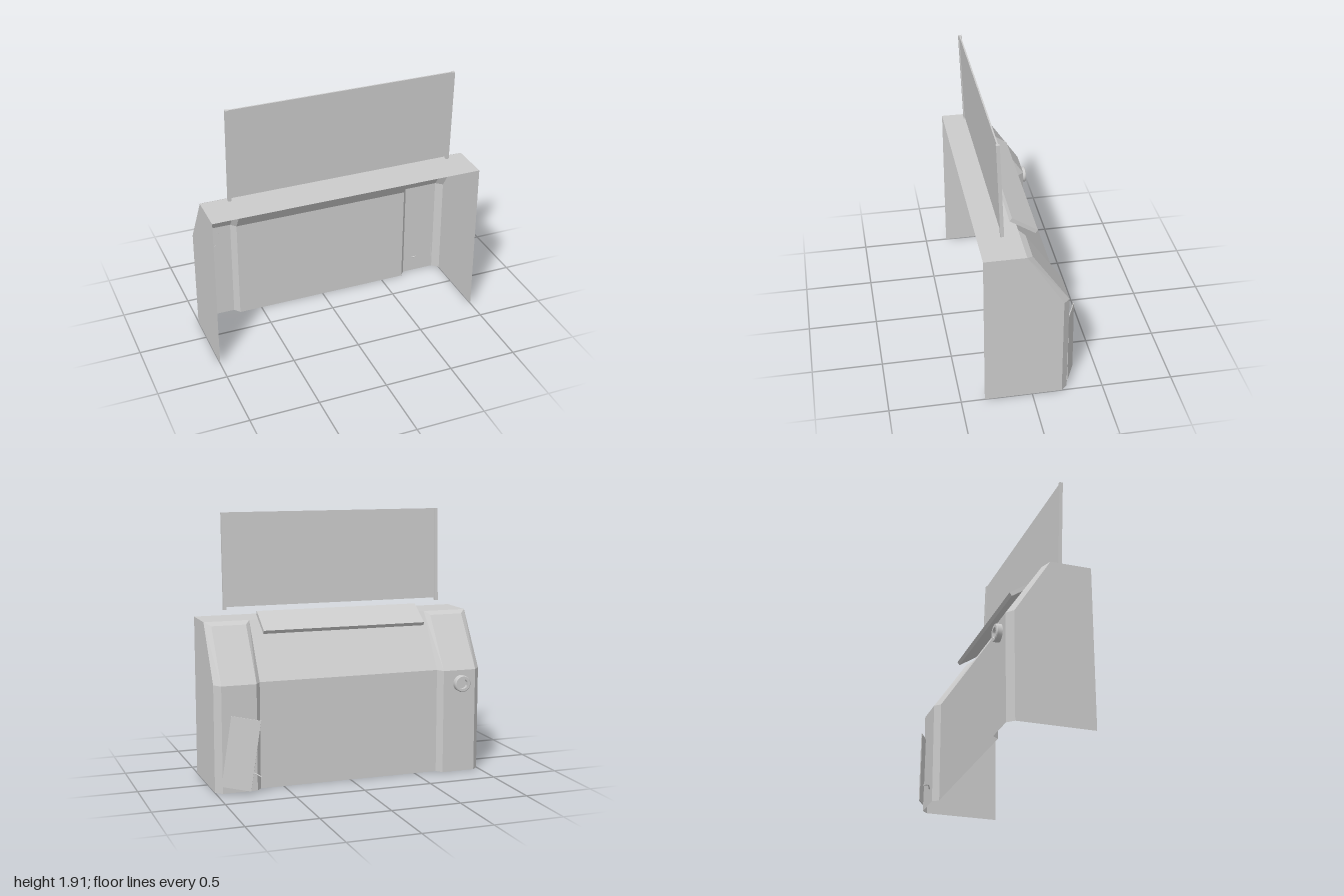
import * as THREE from 'three';
import { toCreasedNormals } from 'three/addons/utils/BufferGeometryUtils.js';

const grey = new THREE.MeshStandardMaterial({ color: 0xcccccc });
const sheet = new THREE.MeshStandardMaterial({ color: 0xcccccc, side: THREE.DoubleSide });

function part(name, geometry, material = grey) {
  const mesh = new THREE.Mesh(geometry, material);
  mesh.name = name;
  return mesh;
}

// Profiles as [z, y], from the front edge of the top down to the back foot
const recessed = [[0.335, 1.16], [0.045, 1.16], [0.045, 1.16], [-0.21, 0.76], [-0.21, 0]];
const raised = [[0.335, 1.16], [0.045, 1.16], [0, 1.135], [-0.255, 0.757], [-0.255, 0]];

// Thin shell lofted across x, with a raised bevelled pillar at each end
function shellGeometry() {
  const stations = [
    [-1, recessed], [-0.955, raised], [-0.705, raised], [-0.67, recessed],
    [0.67, recessed], [0.705, raised], [0.955, raised], [1, recessed],
  ];
  const rows = recessed.length;
  const positions = [];
  const index = [];
  for (const [x, profile] of stations) {
    for (const [z, y] of profile) positions.push(x, y, z);
  }
  for (let s = 0; s < stations.length - 1; s++) {
    for (let r = 0; r < rows - 1; r++) {
      const a = s * rows + r, b = a + rows;
      // the bevel strip has no area between two recessed stations
      if (r === 1 && stations[s][1] === recessed && stations[s + 1][1] === recessed) continue;
      if (stations[s][1] === recessed) index.push(a, b, b + 1, a, b + 1, a + 1);
      else index.push(a, b, a + 1, b, b + 1, a + 1);
    }
  }
  const geometry = new THREE.BufferGeometry();
  geometry.setAttribute('position', new THREE.Float32BufferAttribute(positions, 3));
  geometry.setIndex(index);
  const flat = geometry.toNonIndexed();
  flat.computeVertexNormals();
  return flat;
}

function buildBody() {
  const body = new THREE.Group();
  body.name = 'body';
  body.add(part('shell', shellGeometry(), sheet));
  // Flat end walls
  const outline = new THREE.Shape([
    [-0.335, 0], [-0.335, 1.16], [-0.045, 1.16], [0.21, 0.76], [0.21, 0],
  ].map(([u, v]) => new THREE.Vector2(u, v)));
  for (const side of [-1, 1]) {
    const wall = part(side > 0 ? 'leftWall' : 'rightWall', new THREE.ShapeGeometry(outline), sheet);
    wall.rotation.y = Math.PI / 2;
    wall.position.x = side;
    body.add(wall);
  }
  return body;
}

// Upright pane between two slim posts, leaning slightly forward
function buildScreen() {
  const screen = new THREE.Group();
  screen.name = 'screen';
  const pane = part('pane', new THREE.BoxGeometry(1.63, 0.67, 0.01));
  pane.position.y = 0.01;
  screen.add(pane);
  for (const side of [-1, 1]) {
    const post = part(side > 0 ? 'leftPost' : 'rightPost', new THREE.BoxGeometry(0.022, 0.69, 0.025));
    post.position.x = side * 0.82;
    screen.add(post);
  }
  screen.position.set(-0.007, 1.565, 0.191);
  screen.rotation.x = 0.038;
  return screen;
}

// Loose access door, hung askew on the left pillar
function buildDoor() {
  const door = part('accessDoor', new THREE.BoxGeometry(0.208, 0.502, 0.007));
  const across = new THREE.Vector3(0.19, 0.03, 0.08).normalize();
  const normal = across.clone().cross(new THREE.Vector3(-0.042, 0.5, 0)).normalize();
  const up = normal.clone().cross(across);
  door.setRotationFromMatrix(new THREE.Matrix4().makeBasis(across, up, normal));
  door.position.set(0.832, 0.285, -0.3);
  return door;
}

export function createModel() {
  const model = new THREE.Group();
  model.name = 'console';
  model.add(buildBody(), buildScreen(), buildDoor());

  // Sloping ledge
  const ledge = part('ledge', new THREE.BoxGeometry(1.215, 0.029, 0.213));
  ledge.position.set(-0.002, 1.146, -0.007);
  ledge.rotation.x = -0.575;
  model.add(ledge);

  // Round socket on the right pillar
  const profile = [[0, 0.012], [0.036, 0.012], [0.036, 0.04], [0.055, 0.04], [0.061, 0.034], [0.061, -0.001]]
    .map(([r, h]) => new THREE.Vector2(r, h));
  const socket = part('socket', toCreasedNormals(new THREE.LatheGeometry(profile, 24), 0.6), sheet);
  socket.rotation.x = -Math.PI / 2;
  socket.position.set(-0.842, 0.66, -0.255);
  model.add(socket);

  // Small bent hook beside the door
  const path = new THREE.CatmullRomCurve3([
    [0.81, 0.125, -0.248], [0.775, 0.12, -0.258], [0.75, 0.135, -0.272],
    [0.725, 0.13, -0.295], [0.695, 0.115, -0.325],
  ].map((p) => new THREE.Vector3(...p)));
  model.add(part('hook', new THREE.TubeGeometry(path, 16, 0.005, 6), sheet));

  return model;
}
